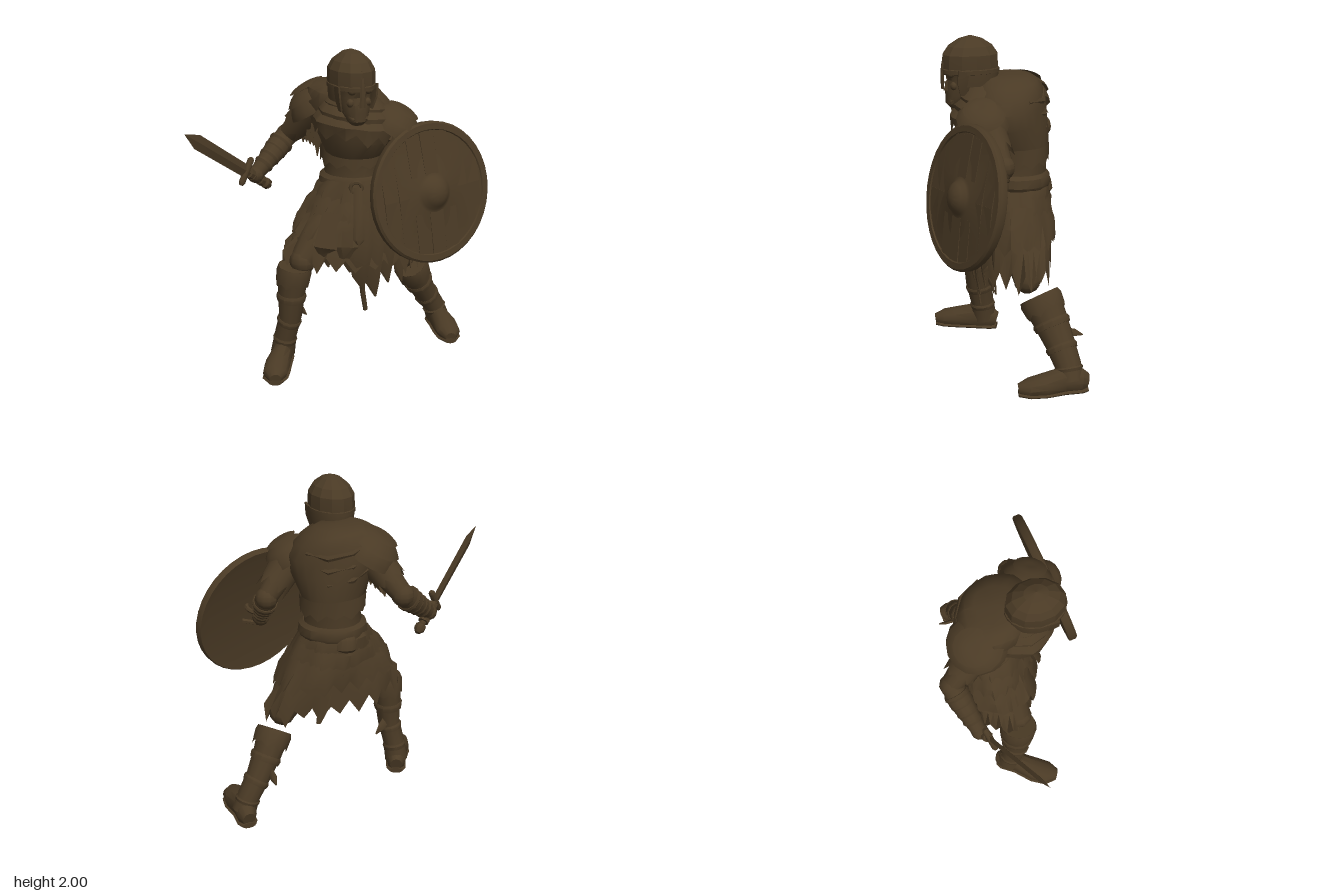
import * as THREE from 'three';
import { toCreasedNormals } from 'three/addons/utils/BufferGeometryUtils.js';

const V = (x, y, z) => new THREE.Vector3(x, y, z);
const profile = pts => pts.map(p => new THREE.Vector2(...p));
const mix = (a, b, t) => [0, 1, 2].map(k => a[k] + (b[k] - a[k]) * t);

export function createModel() {
  const model = new THREE.Group();
  const darkBrown = new THREE.MeshStandardMaterial({ color: 0x4a3a25, side: THREE.DoubleSide });
  let seed = 7;
  const rnd = () => (seed = (seed * 16807) % 2147483647) / 2147483647;

  function add(name, geo, parent = model, crease = 0.65) {
    const m = new THREE.Mesh(toCreasedNormals(geo, crease), darkBrown);
    m.name = name;
    parent.add(m);
    return m;
  }

  // joins cross-section rings into a surface, optionally capped
  function skin(rings, cap) {
    const n = rings[0].length, pos = [], idx = [];
    rings.forEach(r => r.forEach(p => pos.push(p.x, p.y, p.z)));
    for (let i = 0; i < rings.length - 1; i++) for (let j = 0; j < n; j++) {
      const k = (j + 1) % n, a = i * n + j, b = i * n + k;
      idx.push(a, b, b + n, a, b + n, a + n);
    }
    if (cap) [0, rings.length - 1].forEach((i, end) => {
      const c = V(0, 0, 0);
      rings[i].forEach(p => c.addScaledVector(p, 1 / n));
      const ci = pos.length / 3;
      pos.push(c.x, c.y, c.z);
      for (let j = 0; j < n; j++) {
        const a = i * n + j, b = i * n + (j + 1) % n;
        end ? idx.push(ci, a, b) : idx.push(ci, b, a);
      }
    });
    const g = new THREE.BufferGeometry();
    g.setAttribute('position', new THREE.Float32BufferAttribute(pos, 3));
    g.setIndex(idx);
    return g;
  }

  // sweeps an ellipse along points [x, y, z, ra, rb]; rag frays the far end
  function limb(pts, { ref = V(0, 0, 1), n = 12, rag = 0, floor = -1 } = {}) {
    const P = pts.map(p => V(p[0], p[1], p[2]));
    return skin(pts.map((p, i) => {
      const t = P[Math.min(i + 1, P.length - 1)].clone().sub(P[Math.max(i - 1, 0)]).normalize();
      const u = ref.clone().cross(t).normalize(), v = t.clone().cross(u);
      return Array.from({ length: n }, (_, j) => {
        const a = j / n * Math.PI * 2;
        const q = P[i].clone().addScaledVector(u, p[3] * Math.cos(a)).addScaledVector(v, (p[4] ?? p[3]) * Math.sin(a));
        if (rag && i === P.length - 1) q.addScaledVector(t, (j % 2 ? 1 : 0.1) * rag * (0.5 + rnd()));
        q.y = Math.max(q.y, floor);
        return q;
      });
    }), !rag);
  }

  // stacks horizontal ellipses [y, cx, cz, rx, rz, tilt], lowest first; rag frays the hem
  function loft(rows, { yaw = 0, n = 24, rag = 0, fold = 0.015 } = {}) {
    return skin(rows.map(([y, cx, cz, rx, rz, tilt = 0], i) => Array.from({ length: n }, (_, j) => {
      const a = j / n * Math.PI * 2, w = 1 + fold * Math.sin(a * 9 + y * 11) + fold * Math.sin(a * 4 - y * 17);
      const s = Math.sin(a) * rx * w, c = Math.cos(a) * rz * w;
      const dx = s * Math.cos(yaw) + c * Math.sin(yaw), dz = c * Math.cos(yaw) - s * Math.sin(yaw);
      const fray = rag && i === 0 ? (j % 2 ? 1 : -0.2) * rag * (0.4 + rnd()) : 0;
      return V(cx + dx, y - tilt * dx - fray, cz + dz);
    })), !rag);
  }

  // torso, twisted so the left shoulder leads and dips
  add('torso', loft([[1.12, .08, -.06, .19, .18], [1.24, .08, -.07, .165, .17], [1.36, .08, -.06, .19, .19, .05],
    [1.5, .07, -.03, .25, .21, .12], [1.61, .06, -.01, .28, .215, .17], [1.69, .05, -.01, .25, .2, .17], [1.735, .05, -.01, .19, .17, .15],
    [1.76, .05, 0, .12, .13, .1]], { yaw: -.3 }));
  add('chestPlate', loft([[1.33, .08, .01, .17, .18, .05], [1.44, .08, .06, .215, .2, .1], [1.55, .08, .09, .2, .19, .12]], { yaw: -.1, fold: .02 }));
  add('hauberkHem', loft([[1.27, .08, -.06, .2, .195, .05], [1.36, .08, -.06, .2, .19, .05]], { yaw: -.3, rag: .03 }));
  // layered cowl about the neck
  [[1.53, .245, .17, .105], [1.59, .215, .15, .11], [1.64, .18, .13, .115]].forEach(([y, r, h, cz], i) =>
    add('cowl' + i, loft([[y - .03, .08, cz, r, r * .92, .12], [y + .02, .08, cz + .01, r + .006, r * .92, .12], [y + h * .5, .07, cz, r * .8, r * .76, .12],
      [y + h * .65, .06, cz, r * .55, r * .55, .1]], { rag: i ? .012 : .05, fold: .03 })));
  add('neck', limb([[.05, 1.58, .06, .1], [.06, 1.8, .2, .09]]));
  // folds of cloth across the back
  for (let i = 0; i < 3; i++)
    add('backFold', limb([[-.13, 1.7 - i * .08, -.17, .01], [-.02, 1.65 - i * .08, -.215 - i * .006, .02], [.12, 1.62 - i * .08, -.21 - i * .006, .02],
      [.24, 1.63 - i * .07, -.13, .01]], { n: 6, ref: V(0, 1, 0) }));

  // head, turned a little to its left
  const head = new THREE.Group();
  head.name = 'head';
  head.position.set(.053, 0, .215);
  head.rotation.y = .34;
  model.add(head);
  const helmet = add('helmet', new THREE.LatheGeometry(profile([[.131, 1.785], [.134, 1.82], [.131, 1.89], [.105, 1.938], [.055, 1.98], [0, 2]]), 12), head, .3);
  const guard = add('neckGuard', new THREE.LatheGeometry(profile([[.126, 1.71], [.131, 1.76], [.131, 1.81]]), 16, Math.PI * .34, Math.PI * 1.32), head);
  const rim = add('helmetRim', new THREE.LatheGeometry(profile([[.128, 1.78], [.136, 1.783], [.136, 1.806], [.13, 1.81]]), 20), head);
  [helmet, guard, rim].forEach(m => m.scale.z = 1.3);
  add('nasalGuard', limb([[0, 1.69, .172, .018, .008], [0, 1.78, .174, .018, .009], [0, 1.83, .17, .014, .008], [0, 1.9, .158, .01, .006]], { n: 6 }), head);
  add('face', loft([[1.575, 0, .09, .035, .035], [1.6, 0, .085, .06, .065], [1.65, 0, .06, .08, .09], [1.7, 0, .05, .09, .1],
    [1.74, 0, .04, .1, .095], [1.8, 0, .03, .11, .13]], { n: 16, fold: .02 }), head);
  for (const s of [-1, 1]) {
    add('cheekbone', new THREE.SphereGeometry(.026, 8, 6), head).position.set(s * .05, 1.71, .115);
    add('brow', new THREE.SphereGeometry(.026, 8, 6), head).position.set(s * .05, 1.785, .135);
    add('cheekGuard', limb([[s * .095, 1.66, .07, .01, .025], [s * .112, 1.73, .075, .011, .045], [s * .118, 1.8, .06, .011, .06]], { n: 6 }), head);
  }
  add('nose', new THREE.ConeGeometry(.022, .06, 5), head).position.set(0, 1.71, .145);
  add('jaw', limb([[-.06, 1.65, .07, .02], [-.035, 1.615, .12, .022], [.035, 1.615, .12, .022], [.06, 1.65, .07, .02]],
    { n: 8, ref: V(0, 1, 0) }), head);

  // shoulder domes of overlapping flared plates
  function pauldron(name, c, dir, r) {
    const dome = new THREE.Group();
    dome.name = name;
    dome.position.set(...c);
    dome.quaternion.setFromUnitVectors(V(0, 1, 0), V(...dir).normalize());
    model.add(dome);
    [[0, .65], [.5, 1.1], [.95, 1.55]].forEach(([a, b], i) => add('shoulderPlate',
      new THREE.LatheGeometry(profile([1, .75, .5, .25, 0].map(k => {
        const t = a + (b - a) * k, q = r * (.93 + .02 * (2 - i)) + .02 * k;
        return [q * Math.sin(t), q * Math.cos(t)];
      })), 14), dome, .5));
  }
  pauldron('rightPauldron', [-.125, 1.58, -.085], [-.5, .85, -.1], .175);
  pauldron('leftPauldron', [.3, 1.505, .14], [.5, .85, .1], .15);

  // arms with frayed sleeves and wrapped forearms
  function arm(side, s, e, h) {
    add(side + 'UpperArm', limb([[...s, .09], [...mix(s, e, .5), .078], [...e, .062]]));
    add(side + 'Sleeve', limb([[...mix(s, e, .05), .11], [...mix(s, e, .35), .1], [...mix(s, e, .55), .095]], { n: 18, rag: .06 }));
    add(side + 'Elbow', new THREE.SphereGeometry(.07, 10, 8)).position.set(...e);
    add(side + 'Forearm', limb([[...e, .064], [...mix(e, h, .3), .075], [...mix(e, h, .7), .057], [...h, .045]]));
    for (let i = 0; i < 4; i++) {
      const t = .15 + i * .18, r = .075 - i * .006;
      add(side + 'ArmWrap', limb([[...mix(e, h, t), r], [...mix(e, h, t + .05), r + .006], [...mix(e, h, t + .13), r - .008]]));
    }
    add(side + 'Hand', new THREE.SphereGeometry(.053, 10, 8)).position.set(...h);
  }
  arm('right', [-.15, 1.58, -.08], [-.32, 1.375, -.215], [-.515, 1.18, -.025]);
  arm('left', [.32, 1.5, .12], [.47, 1.3, .02], [.5, 1.12, .16]);
  for (let i = 0; i < 5; i++) // rags under the right arm
    add('armRag', limb([[-.13 - i * .02, 1.5, .05 - i * .05, .03, .008], [-.14 - i * .022, 1.42, .05 - i * .05, .026, .006],
      [-.14 - i * .02, 1.31 + rnd() * .07, .05 - i * .05, .003]], { n: 5 }));

  // sword
  const Y = V(0, 1, 0), pommel = V(-.44, 1.09, -.1), tip = V(-.895, 1.56, .42);
  const along = t => pommel.clone().lerp(tip, t).toArray();
  add('blade', limb([[...along(.28), .013, .04], [...along(.6), .012, .042], [...along(.86), .011, .044], [...along(1), .001]], { ref: Y, n: 4 }), model, .2);
  add('grip', limb([[...along(0), .02], [...along(.28), .02]], { ref: Y, n: 8 }));
  add('pommel', limb([[...along(-.02), .015], [...along(.01), .034], [...along(.045), .034], [...along(.06), .02]], { ref: Y, n: 8 }));
  const g0 = V(...along(.28)), gv = V(.37, .83, -.42);
  add('crossGuard', limb([-.09, -.075, 0, .075, .09].map((d, i) =>
    [...g0.clone().addScaledVector(gv, d).toArray(), i % 4 ? .02 : .012])));
  for (let i = 0; i < 4; i++) // fingers round the grip
    add('finger', limb([[...along(.08 + i * .045), .034], [...along(.115 + i * .045), .034]], { ref: Y, n: 8 }));

  // round shield
  const shield = new THREE.Group();
  shield.name = 'shield';
  const sn = V(.5, .18, .85).normalize(), su = V(-.13, .98, -.13);
  su.addScaledVector(sn, -su.dot(sn)).normalize();
  shield.quaternion.setFromRotationMatrix(new THREE.Matrix4().makeBasis(sn.clone().cross(su), sn, su));
  shield.position.set(.53, 1.14, .245);
  model.add(shield);
  add('shieldBoard', new THREE.LatheGeometry(profile([[0, -.005], [.36, -.025], [.415, -.035], [.422, -.025], [.422, .008], [.41, .02], [.375, .02],
    [.37, .012], [.12, .03], [.1, .038], [.08, .065], [.045, .085], [0, .092]]), 36), shield);
  for (let i = -3; i <= 3; i++) {
    const x = i * .1, len = 2 * Math.sqrt(.365 ** 2 - x * x);
    for (const s of [-1, 1]) {
      const inner = Math.abs(i) < 2 ? .11 : 0, half = len / 2 - inner;
      const p = add('plank', new THREE.BoxGeometry(.097, .008, half), shield);
      p.position.set(x, .021 - .01 * Math.abs(i) / 3, s * (inner + half / 2));
      p.rotation.x = s * .05;
    }
  }
  add('armStrap', new THREE.TorusGeometry(.075, .014, 6, 14), shield).position.set(-.02, -.06, .05);
  add('shieldHandle', limb([[-.1, -.02, -.05, .015], [-.03, -.08, -.05, .015], [.04, -.02, -.05, .015]], { n: 6, ref: Y }), shield);

  // belt, pouch and flared, tattered skirt tiers
  add('belt', loft([[1.1, .08, -.065, .2, .19], [1.12, .08, -.065, .212, .2], [1.17, .08, -.065, .205, .195], [1.19, .08, -.065, .18, .18]], { fold: .005 }));
  add('pouch', loft([[1.04, .02, -.24, .05, .025], [1.06, .02, -.245, .065, .035], [1.12, .02, -.24, .06, .03], [1.135, .02, -.235, .05, .02]], { n: 12 }));
  add('buckle', new THREE.TorusGeometry(.035, .012, 6, 10)).position.set(.09, 1.14, .145);
  const tiers = [[.69, .9, .44, .24, .075], [.83, 1.02, .385, .25, .045], [.94, 1.1, .315, .235, .04], [1.04, 1.17, .25, .22, .03]];
  tiers.forEach(([lo, hi, rx, rz, rag], i) => add('skirtTier' + i, loft(
    [[lo, .07, -.01 - i * .01, rx, rz, .12 - i * .03], [(lo + hi) / 2, .07, -.02 - i * .01, rx * .87, rz * .96, .06], [hi, .075, -.04, rx * .68, rz * .8]],
    { yaw: .3, n: 44, rag, fold: .03 })));
  // long rags hanging in front and behind
  [[.03, .62, .25, .07], [.11, .5, .24, .08], [.19, .44, .2, .07], [.27, .52, .16, .07], [-.1, .66, .26, .07],
    [.36, .5, .08, .05], [.3, .6, -.17, .07], [.1, .62, -.2, .07]].forEach(([x, y, z, w]) =>
    add('skirtRag', limb([[.07 + (x - .07) * .75, 1.0, z * .75, w * .8, .012], [x, .8, z, w, .012], [x, y + .1, z * .9, w * .6, .008], [x + .02, y, z * .8, .006]], { n: 6 })));
  add('beltEnd', limb([[.1, 1.14, .15, .028, .01], [.1, 1.0, .22, .03, .01], [.1, .85, .265, .035, .01], [.1, .82, .265, .01, .008]], { n: 6 }));
  add('hangingCord', limb([[.12, .62, .2, .018, .01], [.13, .48, .18, .016, .01], [.15, .35, .16, .014, .008]], { n: 6 }));

  // legs: thigh, knee, boot, cuff, straps and foot
  function leg(side, hip, knee, shin, foot, spike) {
    add(side + 'Thigh', limb([[...hip, .145], [...knee, .08]]));
    add(side + 'Knee', new THREE.SphereGeometry(.082, 10, 8)).position.set(...knee);
    add(side + 'Boot', limb(shin));
    const [a, b] = shin;
    add(side + 'BootCuff', limb([[0, 1], [.2, 1.08], [.6, 1.02]].map(([t, k]) => [...mix(a, b, t), a[3] * k, a[4] * k]), { n: 16, rag: .025 }));
    for (let i = 1; i < shin.length - 1; i++) {
      const p = shin[i], q = shin[i + 1];
      add(side + 'BootStrap', limb([[.1, .002], [.2, .008], [.38, .002]].map(([t, d]) => [...mix(p, q, t), p[3] + d, p[4] + d])));
    }
    add(side + 'StrapEnd', limb(spike, { n: 5 }));
    add(side + 'Foot', limb(foot, { ref: Y, floor: .012 }));
    add(side + 'Sole', limb(foot.map(p => [p[0], .018, p[2], p[3] + .003, .018]), { ref: Y, floor: 0 }));
  }
  leg('right', [-.06, .95, .02], [-.235, .69, .18],
    [[-.285, .66, .185, .1, .11], [-.305, .5, .18, .085, .098], [-.315, .33, .18, .07, .083], [-.345, .2, .16, .068, .075], [-.365, .07, .145, .075, .08]],
    [[-.35, .06, .065, .04, .05], [-.355, .07, .1, .06, .075], [-.37, .075, .2, .062, .09], [-.4, .06, .32, .078, .07], [-.412, .052, .41, .074, .054], [-.41, .042, .47, .035, .034]],
    [[-.3, .38, .13, .03, .012], [-.25, .33, .09, .025, .01], [-.215, .29, .08, .004]]);
  leg('left', [.2, .92, -.06], [.4, .6, -.12],
    [[.455, .52, -.19, .105, .12], [.505, .4, -.25, .09, .105], [.57, .27, -.31, .075, .088], [.635, .16, -.355, .07, .078], [.665, .07, -.37, .075, .08]],
    [[.64, .06, -.465, .04, .05], [.65, .07, -.43, .06, .075], [.67, .075, -.33, .062, .085], [.7, .06, -.22, .078, .07], [.715, .052, -.13, .074, .054], [.72, .042, -.068, .035, .034]],
    [[.5, .31, -.34, .03, .012], [.48, .3, -.4, .025, .01], [.47, .28, -.45, .004]]);
  return model;
}
